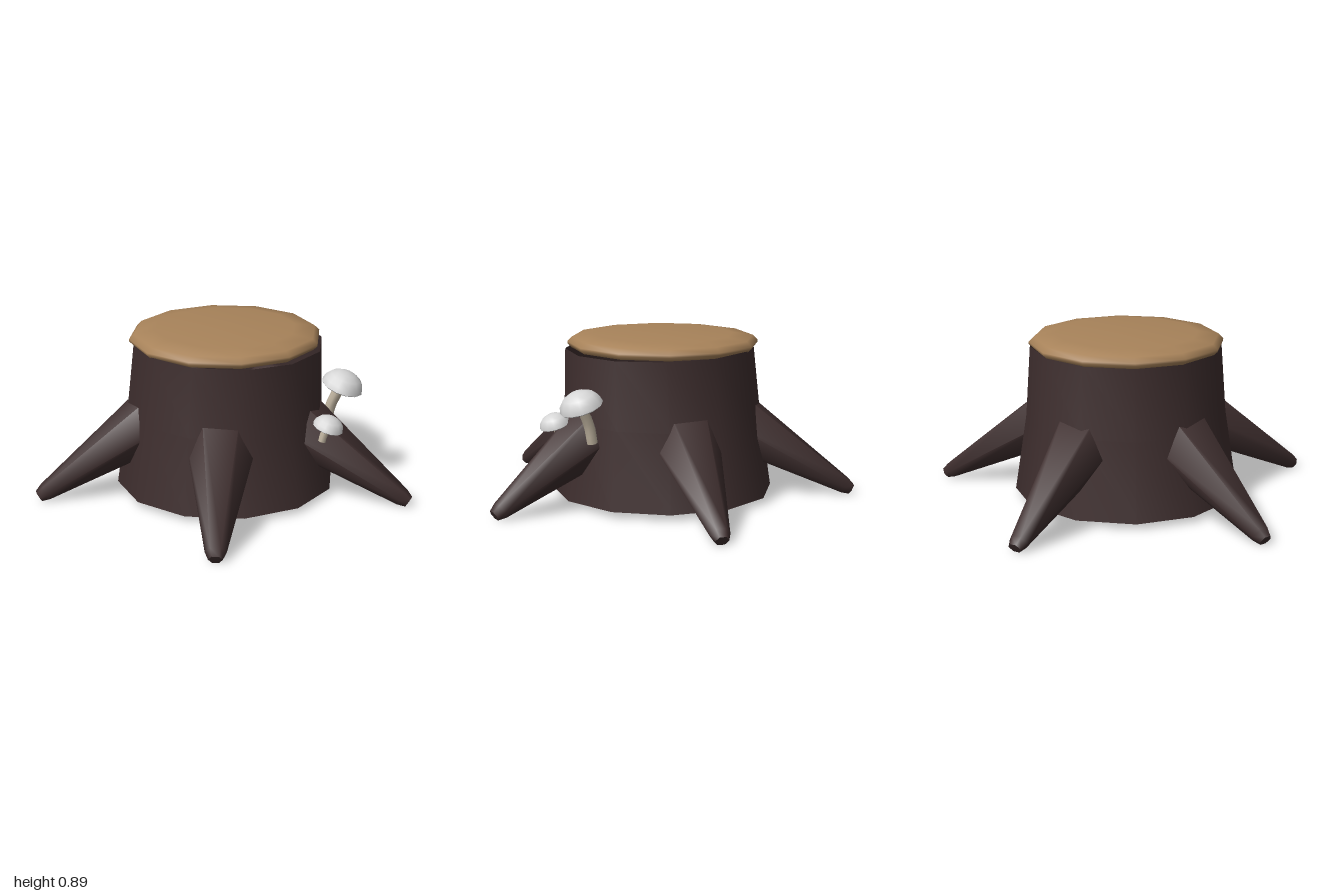
import * as THREE from 'three';
import { toCreasedNormals } from 'three/addons/utils/BufferGeometryUtils.js';

const material = (name, color, side = THREE.FrontSide) => {
  const m = new THREE.MeshStandardMaterial({ color, side });
  m.name = name;
  return m;
};

const lathe = (profile, sides, crease) => toCreasedNormals(
  new THREE.LatheGeometry(profile.map(([r, y]) => new THREE.Vector2(r, y)), sides), crease);

export function createModel() {
  const bark = material('darkBark', 0x3e2e2e, THREE.DoubleSide);
  const wood = material('cutWood', 0xa8835a);
  const white = material('mushroomWhite', 0xd6d6d6);
  const cream = material('mushroomStem', 0xc0b4a0, THREE.DoubleSide);

  const model = new THREE.Group();
  model.name = 'treeStump';
  const add = (name, geometry, mat, parent = model) => {
    const mesh = new THREE.Mesh(geometry, mat);
    mesh.name = name;
    parent.add(mesh);
    return mesh;
  };
  const centreX = -0.1;

  // Hollow trunk, open at both ends, its top leaning and dipping towards +x
  const trunkShape = lathe([[0.6, 0.04], [0.536, 0.45], [0.51, 0.82]], 12, 1);
  const p = trunkShape.attributes.position;
  for (let i = 0; i < p.count; i++) {
    if (p.getY(i) < 0.8) continue;
    p.setY(i, 0.822 - 0.02 * p.getX(i));
    p.setX(i, p.getX(i) + 0.02);
  }
  add('trunk', trunkShape, bark).position.x = centreX;

  // Sawn top with a softly rounded rim
  const top = lathe([[0, 0.818], [0.495, 0.818], [0.516, 0.838], [0.516, 0.85],
    [0.49, 0.876], [0.38, 0.892], [0, 0.896]], 12, 1);
  add('cutTop', top, wood).position.x = centreX;

  // Five tapering roots, flattened six-sided cones sloping to the ground
  const slope = THREE.MathUtils.degToRad(31);
  const rootShape = lathe([[0, -0.85], [0.14, -0.85], [0.2, -0.78], [0.054, -0.035],
    [0.036, 0.008], [0, 0.01]], 6, 1.1);
  rootShape.scale(0.87, 1, 1);
  rootShape.rotateZ(-Math.PI / 2 - slope);
  rootShape.translate(1.032, 0.035, 0);
  for (let i = 0; i < 5; i++) {
    const root = add('root' + (i + 1), rootShape, bark);
    root.position.x = centreX;
    root.rotation.y = i * Math.PI * 2 / 5;
  }

  // Mushrooms: a bending stem and a tilted domed cap with a hollowed underside
  const capShape = lathe([[0, 0.1], [0.55, 0.05], [0.92, -0.06], [1, 0.0], [0.93, 0.27],
    [0.72, 0.53], [0.4, 0.7], [0, 0.76]], 12, 0.9);
  const mushroom = (name, path, stemRadius, capCentre, capRadius, tilt) => {
    const group = new THREE.Group();
    group.name = name;
    model.add(group);
    const curve = new THREE.CatmullRomCurve3(path.map(q => new THREE.Vector3(...q)));
    add(name + 'Stem', new THREE.TubeGeometry(curve, 6, stemRadius, 8), cream, group);
    const cap = add(name + 'Cap', capShape, white, group);
    cap.position.set(...capCentre);
    cap.scale.setScalar(capRadius);
    cap.rotation.z = tilt;
  };
  mushroom('largeMushroom', [[0.435, 0.375, -0.142], [0.455, 0.47, -0.143], [0.51, 0.59, -0.148]],
    0.029, [0.51, 0.577, -0.163], 0.115, -0.33);
  mushroom('smallMushroom', [[0.485, 0.358, 0.118], [0.495, 0.395, 0.113], [0.515, 0.445, 0.105]],
    0.021, [0.515, 0.437, 0.107], 0.083, -0.3);

  return model;
}
